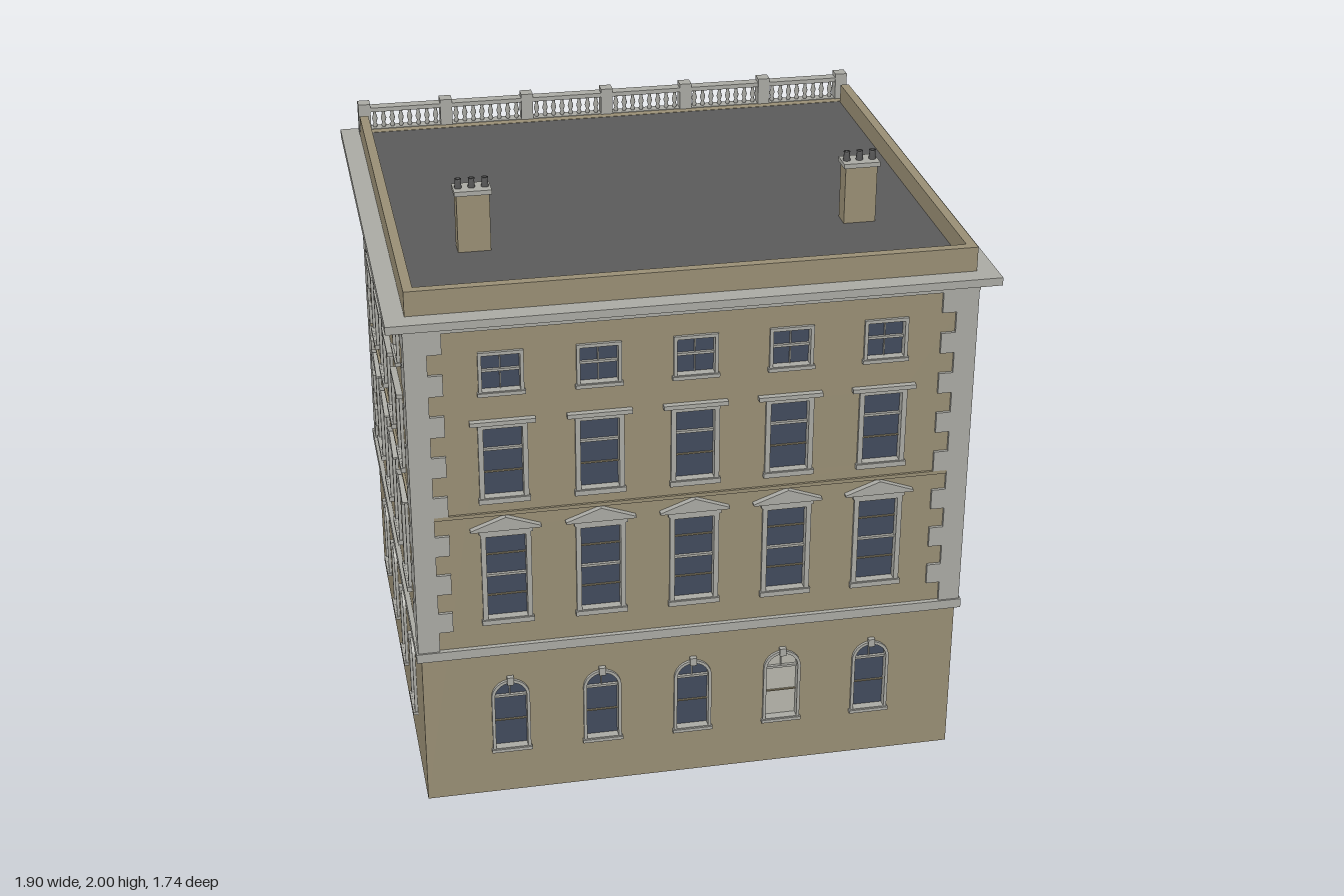
import * as THREE from 'three';

const mat = (name, color, opts = {}) => {
  const m = new THREE.MeshStandardMaterial({ color, ...opts });
  m.name = name;
  return m;
};

export function createModel() {
  const stone = mat('tan stone', 0x988e74);
  const trim = mat('grey trim', 0xa9a9a3);
  const glass = mat('window glass', 0x414a5c);
  const slate = mat('roof grey', 0x5a5a5a);
  const iron = mat('dark iron', 0x14231a);
  const paint = mat('door green', 0x1f3323);
  const blind = mat('pale blind', 0xb6b5ac);

  const group = (name, parent) => {
    const g = new THREE.Group();
    g.name = name;
    if (parent) parent.add(g);
    return g;
  };
  const mesh = (parent, name, geo, m, x = 0, y = 0, z = 0) => {
    const o = new THREE.Mesh(geo, m);
    o.name = name;
    o.position.set(x, y, z);
    parent.add(o);
    return o;
  };
  // box given by its limits on each axis
  const box = (parent, name, m, x0, x1, y0, y1, z0, z1) =>
    mesh(parent, name, new THREE.BoxGeometry(x1 - x0, y1 - y0, z1 - z0), m,
      (x0 + x1) / 2, (y0 + y1) / 2, (z0 + z1) / 2);
  // rectangle, or rectangle with a round head, centred on cx
  const outline = (cx, w, y0, y1, arched, Type = THREE.Shape) => {
    const s = new Type(), r = w / 2;
    s.moveTo(cx - r, y0);
    s.lineTo(cx + r, y0);
    if (arched) {
      s.lineTo(cx + r, y1 - r);
      s.absarc(cx, y1 - r, r, 0, Math.PI, false);
    } else {
      s.lineTo(cx + r, y1);
      s.lineTo(cx - r, y1);
    }
    s.closePath();
    return s;
  };
  const extrude = (shape, depth) =>
    new THREE.ExtrudeGeometry(shape, { depth, bevelEnabled: false, curveSegments: 10 });

  const model = group('townHouse');
  const W = 0.885, ZF = 0.8, ZB = -0.75, ZC = (ZF + ZB) / 2, T = 0.03;

  // w, y0, y1: pane; edge: frame width; rail: grey bar; bars: thin stone bars
  const floors = [
    { name: 'groundWindow', w: 0.105, y0: 0.175, y1: 0.425, edge: 0.01, arched: true, rail: 0.365, bars: [0.27] },
    { name: 'firstFloorWindow', w: 0.127, y0: 0.675, y1: 0.975, edge: 0.016, rail: 0.825, bars: [0.75, 0.9] },
    { name: 'secondFloorWindow', w: 0.122, y0: 1.115, y1: 1.355, edge: 0.016, rail: 1.275, bars: [1.195] },
    { name: 'thirdFloorWindow', w: 0.118, y0: 1.482, y1: 1.603, edge: 0.011, rail: 1.545, bars: [] },
  ];

  function frame(parent, cx, f) {
    const e = f.edge;
    const s = outline(cx, f.w + 2 * e, f.y0 - e, f.y1 + e, f.arched);
    s.holes.push(outline(cx, f.w, f.y0, f.y1, f.arched, THREE.Path));
    mesh(parent, 'frame', extrude(s, 0.032), trim, 0, 0, -0.022);
  }

  function addWindow(parent, cx, level, pale) {
    const f = floors[level], g = group(f.name, parent), h = f.w / 2;
    frame(g, cx, f);
    mesh(g, 'pane', new THREE.ShapeGeometry(outline(cx, f.w, f.y0, f.y1, f.arched), 10), pale ? blind : glass, 0, 0, -0.018);
    box(g, 'meetingRail', trim, cx - h, cx + h, f.rail - 0.004, f.rail + 0.004, -0.02, -0.008);
    f.bars.forEach(y => box(g, 'glazingBar', stone, cx - h, cx + h, y - 0.002, y + 0.002, -0.02, -0.012));
    if (level === 0 || level === 3)
      box(g, 'uprightBar', trim, cx - 0.002, cx + 0.002, level ? f.y0 : f.rail, f.y1, -0.02, -0.012);
    box(g, 'sill', trim, cx - h - f.edge - 0.004, cx + h + f.edge + 0.004, f.y0 - f.edge - 0.003, f.y0 - 0.002, 0, 0.016);
    if (level === 0) box(g, 'keystone', trim, cx - 0.011, cx + 0.011, 0.42, 0.448, 0, 0.016);
    if (level === 1) {
      const p = new THREE.Shape();
      p.moveTo(cx - 0.112, 1.0);
      p.lineTo(cx + 0.112, 1.0);
      p.lineTo(cx + 0.112, 1.006);
      p.lineTo(cx, 1.047);
      p.lineTo(cx - 0.112, 1.006);
      mesh(g, 'pediment', extrude(p, 0.02), trim);
      box(g, 'lintel', trim, cx - 0.085, cx + 0.085, 0.985, 1.0, 0, 0.013);
    }
    if (level === 2) box(g, 'hood', trim, cx - 0.102, cx + 0.102, 1.37, 1.384, 0, 0.02);
  }

  // one facade, local z = 0 on the wall surface, facing +z
  function facade(name, half, cols, pale, door) {
    const g = group(name, model);
    const wall = new THREE.Shape([[-half, 0], [half, 0], [half, 1.7], [-half, 1.7]].map(p => new THREE.Vector2(...p)));
    cols.forEach((cx, i) => floors.forEach((f, level) => {
      if (door && level === 0 && cx === 0) return;
      const e = f.edge / 2;
      wall.holes.push(outline(cx, f.w + 2 * e, f.y0 - e, f.y1 + e, f.arched, THREE.Path));
      addWindow(g, cx, level, level === 0 && i === pale);
    }));
    if (door) wall.holes.push(outline(0, 0.3, 0.01, 0.5, true, THREE.Path));
    mesh(g, 'wall', extrude(wall, T), stone, 0, 0, -T);
    return g;
  }

  const wide = [-0.603, -0.3015, 0, 0.3015, 0.603];
  const deep = [-0.457, -0.152, 0.152, 0.457];
  const dHalf = (ZF - ZB) / 2 - T;
  facade('frontFacade', W, wide, 3, false).position.z = ZF;
  const back = facade('backFacade', W, wide, 3, true);
  back.position.z = ZB;
  back.rotation.y = Math.PI;
  for (const s of [1, -1]) {
    const side = facade(s > 0 ? 'leftFacade' : 'rightFacade', dHalf, deep, s > 0 ? -1 : 3, false);
    side.position.set(s * W, 0, ZC);
    side.rotation.y = s * Math.PI / 2;
  }

  // entrance door on the back facade
  const entry = group('entrance', back);
  frame(entry, 0, { w: 0.29, y0: 0.016, y1: 0.495, edge: 0.014, arched: true });
  mesh(entry, 'fanlight', new THREE.ShapeGeometry(outline(0, 0.29, 0.016, 0.495, true), 16), glass, 0, 0, -0.02);
  for (const s of [-1, 1]) {
    box(entry, 'doorLeaf', paint, s > 0 ? 0.001 : -0.146, s > 0 ? 0.146 : -0.001, 0.01, 0.35, -0.025, -0.012);
    const spoke = mesh(entry, 'fanBar', new THREE.BoxGeometry(0.004, 0.14, 0.006), trim, s * 0.05, 0.4, -0.016);
    spoke.rotation.z = -s * 0.75;
  }
  box(entry, 'transom', trim, -0.146, 0.146, 0.348, 0.358, -0.025, -0.008);
  box(entry, 'doorstep', trim, -0.17, 0.17, 0, 0.016, -0.025, 0.02);

  // horizontal bands, cornice and base
  const band = (name, m, y0, y1, out) => box(model, name, m, -W - out, W + out, y0, y1, ZB - out, ZF + out);
  box(model, 'base', slate, -W + 0.002, W - 0.002, 0, 0.004, ZB + 0.002, ZF - 0.002);
  band('stringCourse', trim, 0.54, 0.572, 0.016);
  band('upperBand', stone, 1.048, 1.06, 0.008);
  band('frieze', trim, 1.69, 1.724, 0.012);
  band('cornice', trim, 1.724, 1.75, 0.064);

  // corner stones, alternating long and short
  const quoins = group('quoins', model);
  const rows = 16, rowH = (1.69 - 0.572) / rows;
  for (let i = 0; i < rows; i++) {
    const len = i % 2 ? 0.105 : 0.06, y = 0.572 + i * rowH;
    for (const sx of [-1, 1]) for (const sz of [-1, 1]) {
      const zc = sz > 0 ? ZF : ZB, size = len + 0.01;
      mesh(quoins, 'cornerStone', new THREE.BoxGeometry(size, rowH, size), trim,
        sx * (W + 0.01 - size / 2), y + rowH / 2, zc + sz * (0.01 - size / 2));
    }
  }

  // roof and parapet
  box(model, 'roof', slate, -W + T, W - T, 1.74, 1.765, ZB + T, ZF - T);
  box(model, 'backParapetBase', stone, -W, W, 1.74, 1.766, ZB, ZB + T);
  box(model, 'frontParapet', stone, -W, W, 1.74, 1.83, ZF - T, ZF);
  for (const s of [-1, 1]) {
    const x = s * (W - T / 2);
    box(model, 'sideParapet', stone, x - T / 2, x + T / 2, 1.74, 1.83, -0.715, ZF - T);
  }

  // row of turned balusters along x
  const profile = [[0.006, 0], [0.009, 0.12], [0.005, 0.25], [0.01, 0.5], [0.005, 0.8], [0.008, 1]];
  const balusters = (parent, m, x0, x1, n, y0, y1, z) => {
    const geo = new THREE.LatheGeometry(profile.map(([r, t]) => new THREE.Vector2(r, t * (y1 - y0))), 8);
    for (let i = 0; i < n; i++) mesh(parent, 'baluster', geo, m, x0 + (x1 - x0) * (i + 0.5) / n, y0, z);
  };

  // roof balustrade above the back facade
  const balustrade = group('roofBalustrade', model);
  const posts = [-0.865, -0.577, -0.288, 0, 0.288, 0.577, 0.865];
  box(balustrade, 'plinth', trim, -0.88, 0.88, 1.75, 1.768, -0.79, -0.75);
  box(balustrade, 'handrail', trim, -0.88, 0.88, 1.83, 1.845, -0.79, -0.75);
  posts.forEach((x, i) => {
    box(balustrade, 'pedestal', trim, x - 0.021, x + 0.021, 1.75, 1.86, -0.793, -0.747);
    if (i) balusters(balustrade, trim, posts[i - 1] + 0.021, x - 0.021, 8, 1.768, 1.83, -0.77);
  });

  // large balcony over the entrance
  const balcony = group('balcony', model);
  box(balcony, 'floorSlab', trim, -0.43, 0.43, 0.638, 0.658, -0.87, -0.75);
  box(balcony, 'bottomRail', stone, -0.39, 0.39, 0.658, 0.672, -0.868, -0.832);
  box(balcony, 'topRail', stone, -0.39, 0.39, 0.75, 0.768, -0.87, -0.83);
  box(balcony, 'middlePier', trim, -0.022, 0.022, 0.655, 0.773, -0.873, -0.828);
  for (const s of [-1, 1]) {
    box(balcony, 'endWall', trim, s * 0.41 - 0.02, s * 0.41 + 0.02, 0.64, 0.775, -0.874, -0.75);
    balusters(balcony, stone, s * 0.022, s * 0.39, 11, 0.672, 0.75, -0.85);
    for (const x of [0.2, 0.39]) {
      const b = new THREE.Shape([[0, 0.582], [0.094, 0.582], [0.094, 0.64], [0, 0.64]].map(p => new THREE.Vector2(...p)));
      const o = mesh(balcony, 'bracket', extrude(b, 0.04), trim, s * x - 0.02, 0, ZB);
      o.rotation.y = Math.PI / 2;
    }
  }

  // iron balconettes on the second floor
  for (const x of wide) {
    const g = group('balconette', model), h = 0.1, z0 = -0.804;
    box(g, 'ledge', trim, x - h, x + h, 1.094, 1.103, z0, ZB);
    for (const y of [1.108, 1.2]) {
      box(g, 'frontRail', iron, x - h, x + h, y - 0.005, y + 0.005, z0, z0 + 0.01);
      for (const s of [-1, 1])
        box(g, 'sideRail', iron, x + s * (h - 0.005) - 0.005, x + s * (h - 0.005) + 0.005, y - 0.005, y + 0.005, z0, ZB);
    }
    for (const s of [-1, 1]) for (const z of [z0, ZB - 0.01])
      box(g, 'post', iron, x + s * (h - 0.005) - 0.005, x + s * (h - 0.005) + 0.005, 1.1, 1.205, z, z + 0.01);
    for (let i = -3; i <= 3; i++)
      box(g, 'bar', iron, x + i * 0.025 - 0.002, x + i * 0.025 + 0.002, 1.108, 1.2, z0 + 0.003, z0 + 0.007);
  }

  // chimneys with three hollow pots
  const potShape = [[0.007, 0], [0.012, 0], [0.009, 0.024], [0.011, 0.03], [0.007, 0.03], [0.007, 0]];
  const potGeo = new THREE.LatheGeometry(potShape.map(p => new THREE.Vector2(...p)), 10);
  for (const s of [-1, 1]) {
    const g = group('chimney', model), x = s * 0.622;
    box(g, 'stack', stone, x - 0.052, x + 0.052, 1.76, 1.955, 0.329, 0.391);
    box(g, 'cap', trim, x - 0.059, x + 0.059, 1.955, 1.97, 0.322, 0.398);
    for (const i of [-1, 0, 1]) mesh(g, 'pot', potGeo, slate, x + i * 0.042, 1.97, 0.36);
  }
  return model;
}
